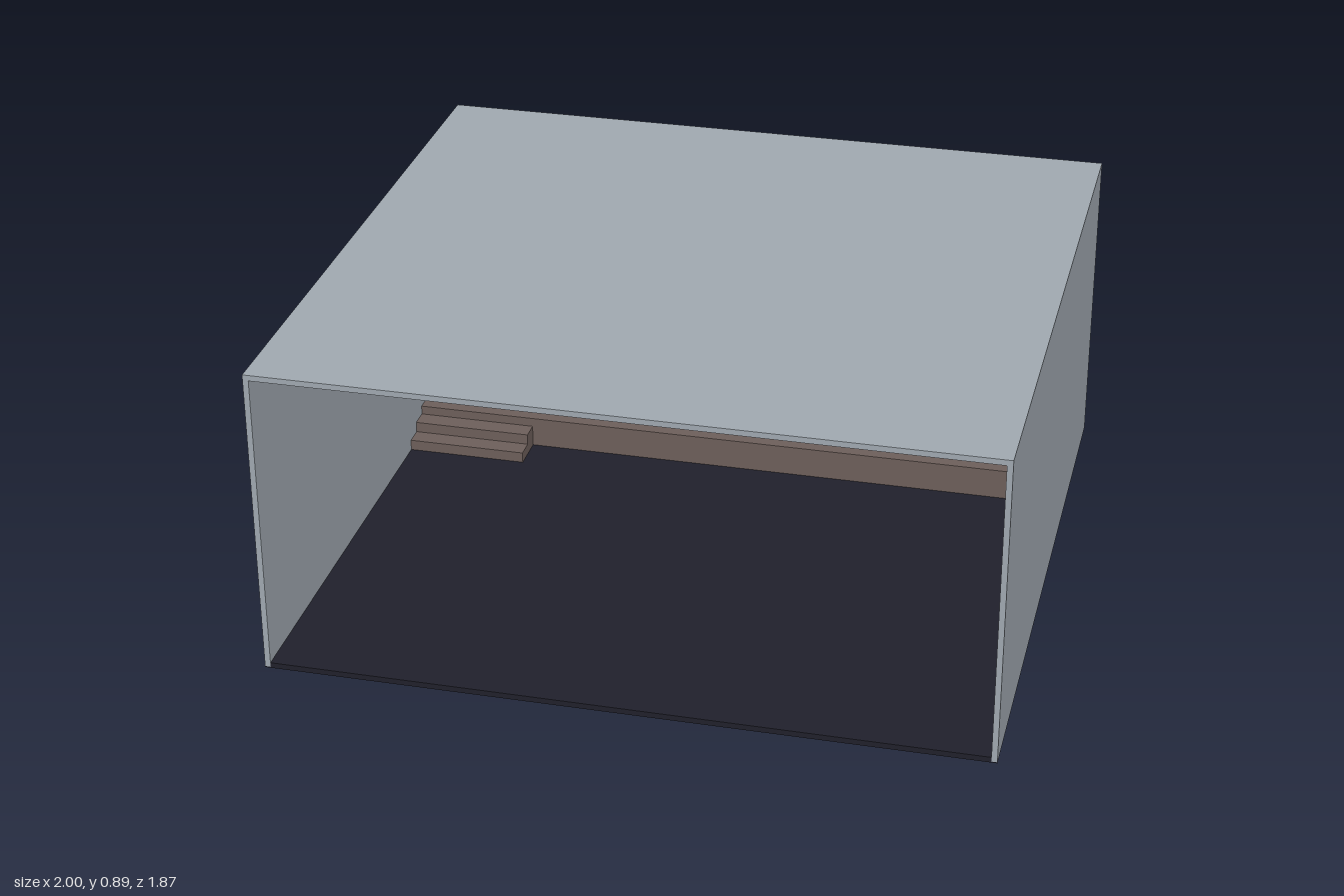
import * as THREE from 'three';

export function createModel() {
  const model = new THREE.Group();
  model.name = 'hall';

  const mat = (name, color) => {
    const m = new THREE.MeshStandardMaterial({ color });
    m.name = name;
    return m;
  };
  const wallGrey = mat('wall grey', 0xa0a8b0);
  const floorDark = mat('floor dark', 0x20202b);
  const stageBrown = mat('stage brown', 0x6d5f5a);

  // Box given by its lower and upper corners
  const box = (name, material, [x0, y0, z0], [x1, y1, z1]) => {
    const mesh = new THREE.Mesh(new THREE.BoxGeometry(x1 - x0, y1 - y0, z1 - z0), material);
    mesh.position.set((x0 + x1) / 2, (y0 + y1) / 2, (z0 + z1) / 2);
    mesh.name = name;
    model.add(mesh);
  };

  const W = 1, H = 0.893, D = 0.935, T = 0.016; // half width, height, half depth, thickness
  const inX = W - T, base = 0.003;

  // Floor: thin full-width base with a slab between the walls
  box('floorBase', floorDark, [-W, 0, -D], [W, base, D]);
  box('floor', floorDark, [-inX, base, -D + T], [inX, T, D]);

  // Shell, open at the front
  box('roof', wallGrey, [-W, H - T, -D], [W, H, D]);
  box('backWall', wallGrey, [-inX, base, -D], [inX, H - T, -D + T]);
  box('leftWall', wallGrey, [inX, base, -D], [W, H - T, D]);
  box('rightWall', wallGrey, [-W, base, -D], [-inX, H - T, D]);

  // Stage with a deck board on top
  const stageZ = -0.41;
  box('stage', stageBrown, [-inX, T, -D + T], [inX, 0.096, stageZ]);
  box('stageDeck', stageBrown, [-inX, 0.096, -D + T], [inX, 0.107, stageZ]);

  // Steps up to the stage
  const rise = 0.032, run = 0.057;
  for (let i = 0; i < 2; i++) {
    box('step' + (i + 1), stageBrown,
      [-inX, T + i * rise, stageZ], [-0.63, T + (i + 1) * rise, stageZ + (2 - i) * run]);
  }
  return model;
}
